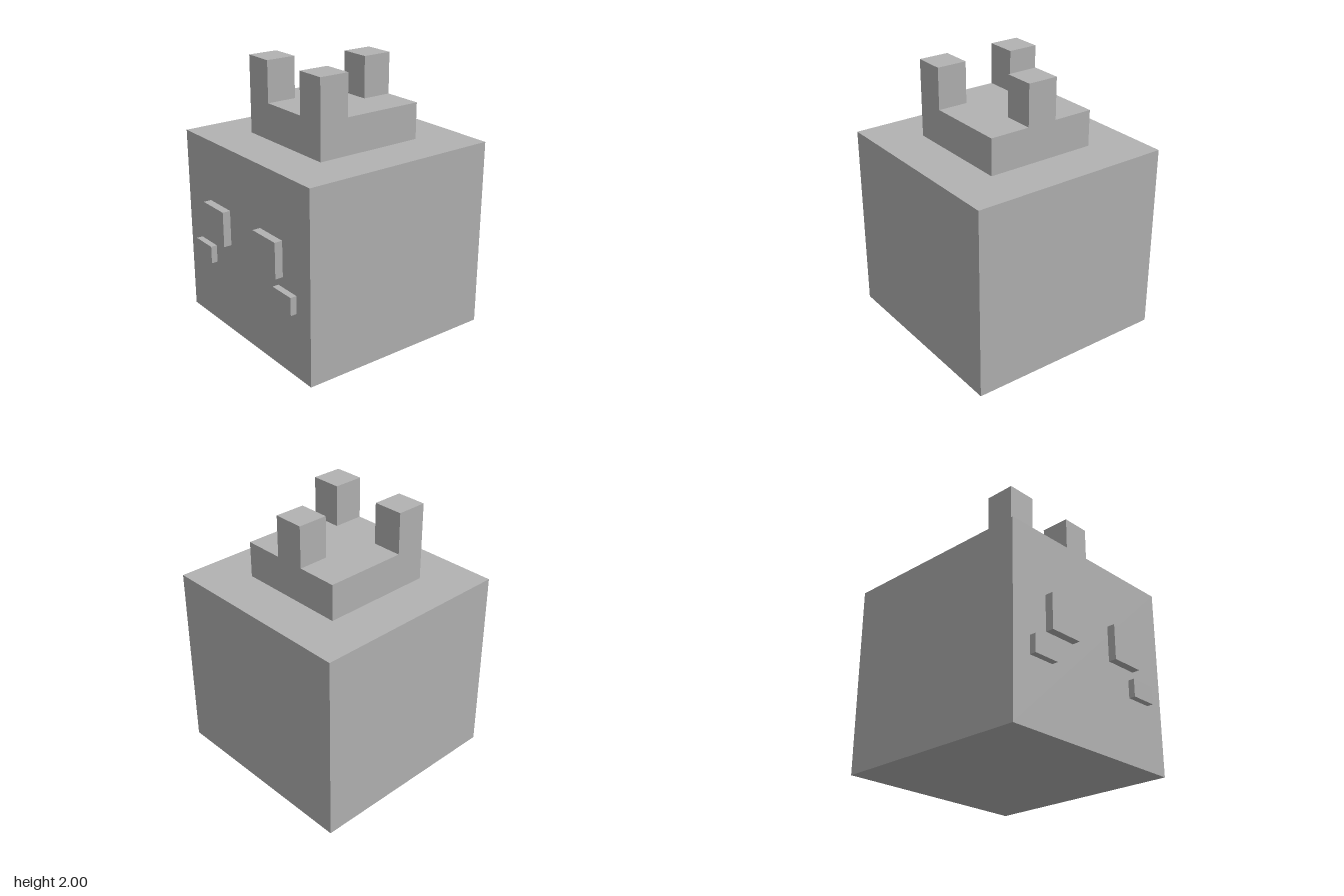
import * as THREE from 'three';

export function createModel() {
  const model = new THREE.Group();
  const grey = new THREE.MeshStandardMaterial({ color: 0xb2b2b2 });
  grey.name = 'grey';

  // Box given by its extents on each axis
  function block(name, [x0, x1], [y0, y1], [z0, z1]) {
    const mesh = new THREE.Mesh(new THREE.BoxGeometry(x1 - x0, y1 - y0, z1 - z0), grey);
    mesh.position.set((x0 + x1) / 2, (y0 + y1) / 2, (z0 + z1) / 2);
    mesh.name = name;
    model.add(mesh);
  }

  // Head and the crown's base
  block('head', [-0.77, 0.767], [0, 1.423], [-0.8, 0.74]);
  block('crownBase', [-0.423, 0.418], [1.423, 1.693], [-0.452, 0.395]);

  // Crown points: two at the front corners, one at the back centre
  const pointY = [1.693, 2];
  block('rightCrownPoint', [-0.423, -0.195], pointY, [0.165, 0.395]);
  block('leftCrownPoint', [0.19, 0.418], pointY, [0.165, 0.395]);
  block('backCrownPoint', [-0.117, 0.113], pointY, [-0.452, -0.224]);

  // Raised eyes and cheeks
  block('rightEye', [-0.46, -0.195], [0.697, 0.963], [0.74, 0.8]);
  block('leftEye', [0.19, 0.456], [0.697, 0.963], [0.74, 0.8]);
  block('rightCheek', [-0.615, -0.406], [0.487, 0.62], [0.74, 0.788]);
  block('leftCheek', [0.402, 0.611], [0.487, 0.62], [0.74, 0.788]);

  return model;
}
